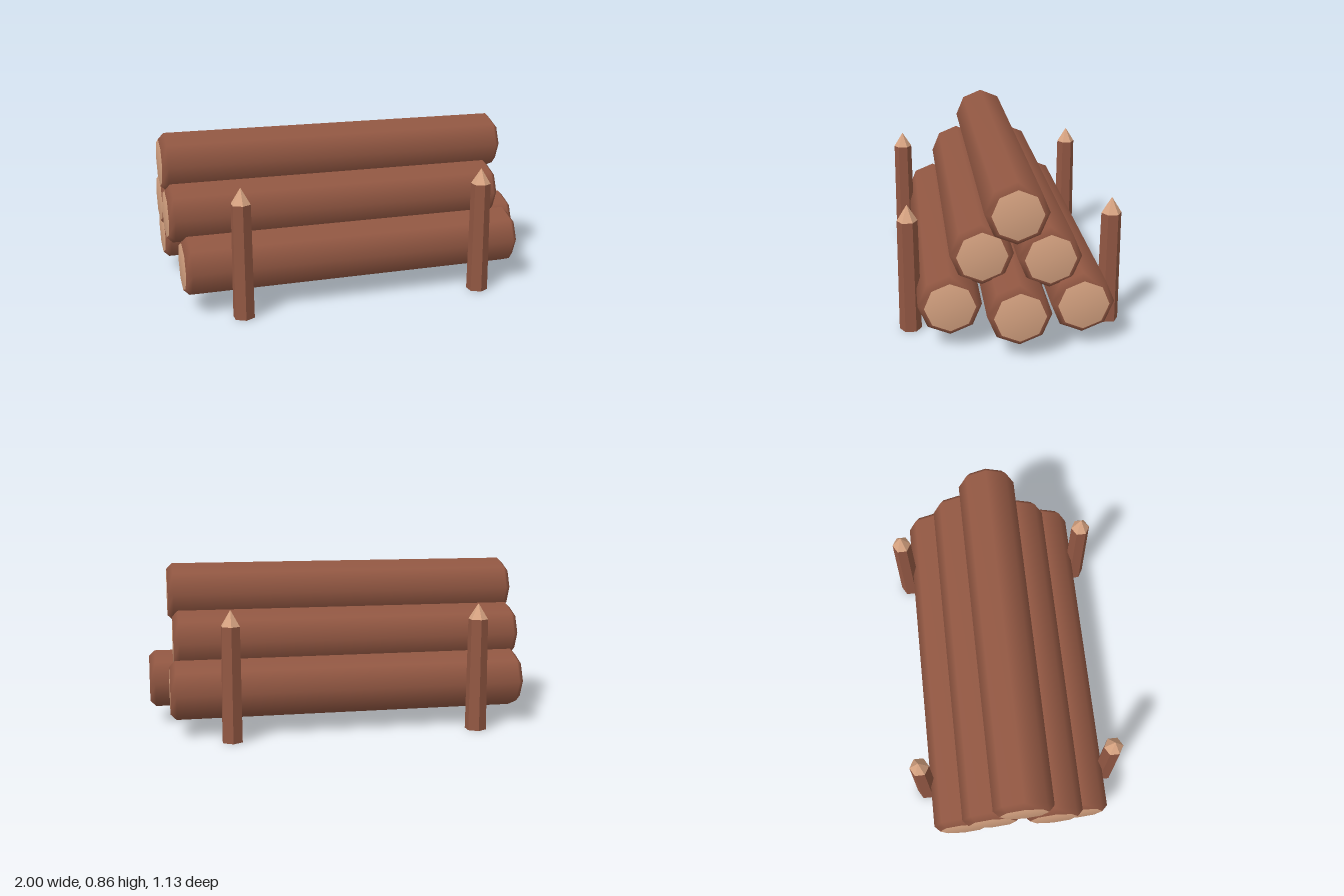
import * as THREE from 'three';

export function createModel() {
  const model = new THREE.Group();
  model.name = 'logPile';
  const bark = new THREE.MeshStandardMaterial({ color: 0x935843 });
  bark.name = 'bark';
  const wood = new THREE.MeshStandardMaterial({ color: 0xd8a482 });
  wood.name = 'cutWood';
  const flatBark = bark.clone();
  flatBark.flatShading = true;
  const flatWood = wood.clone();
  flatWood.flatShading = true;

  // Eight-sided log along x: cut faces at both ends, bevelled bark between
  const SIDES = 8, R = 0.155, CUT = 0.125, BEVEL = 0.03;
  function log(name, x0, x1, y, z) {
    const profile = [
      [0, x0], [CUT, x0], [R, x0 + BEVEL],
      [R, x1 - BEVEL], [CUT, x1], [0, x1],
    ].map(([r, h]) => new THREE.Vector2(r, h));
    const geo = new THREE.LatheGeometry(profile, SIDES);
    for (let i = 0; i < SIDES; i++) {
      geo.addGroup(i * 30, 6, 1);
      geo.addGroup(i * 30 + 6, 18, 0);
      geo.addGroup(i * 30 + 24, 6, 1);
    }
    geo.rotateZ(-Math.PI / 2);
    const mesh = new THREE.Mesh(geo, [bark, wood]);
    mesh.name = name;
    mesh.position.set(0, y, z);
    model.add(mesh);
  }
  log('bottomFrontLog', -0.95, 0.86, 0.23, 0.32);
  log('bottomMiddleLog', -0.89, 1.0, 0.23, 0);
  log('bottomBackLog', -0.965, 0.9, 0.23, -0.32);
  log('middleFrontLog', -1.0, 0.81, 0.465, 0.16);
  log('middleBackLog', -0.99, 0.875, 0.465, -0.16);
  log('topLog', -1.0, 0.895, 0.7, 0);

  // Six-sided sharpened stakes at the four corners
  const shaftGeo = new THREE.CylinderGeometry(0.051, 0.056, 0.585, 6);
  const tipGeo = new THREE.ConeGeometry(0.051, 0.082, 6, 1, true);
  for (const x of [-0.68, 0.6]) {
    for (const z of [-0.508, 0.508]) {
      const stake = new THREE.Group();
      stake.name = (z > 0 ? 'front' : 'back') + (x > 0 ? 'Left' : 'Right') + 'Stake';
      const shaft = new THREE.Mesh(shaftGeo, [flatBark, flatWood, flatWood]);
      shaft.name = 'shaft';
      shaft.position.y = 0.2925;
      const tip = new THREE.Mesh(tipGeo, flatWood);
      tip.name = 'tip';
      tip.position.y = 0.626;
      stake.add(shaft, tip);
      stake.position.set(x, 0, z);
      model.add(stake);
    }
  }
  return model;
}
